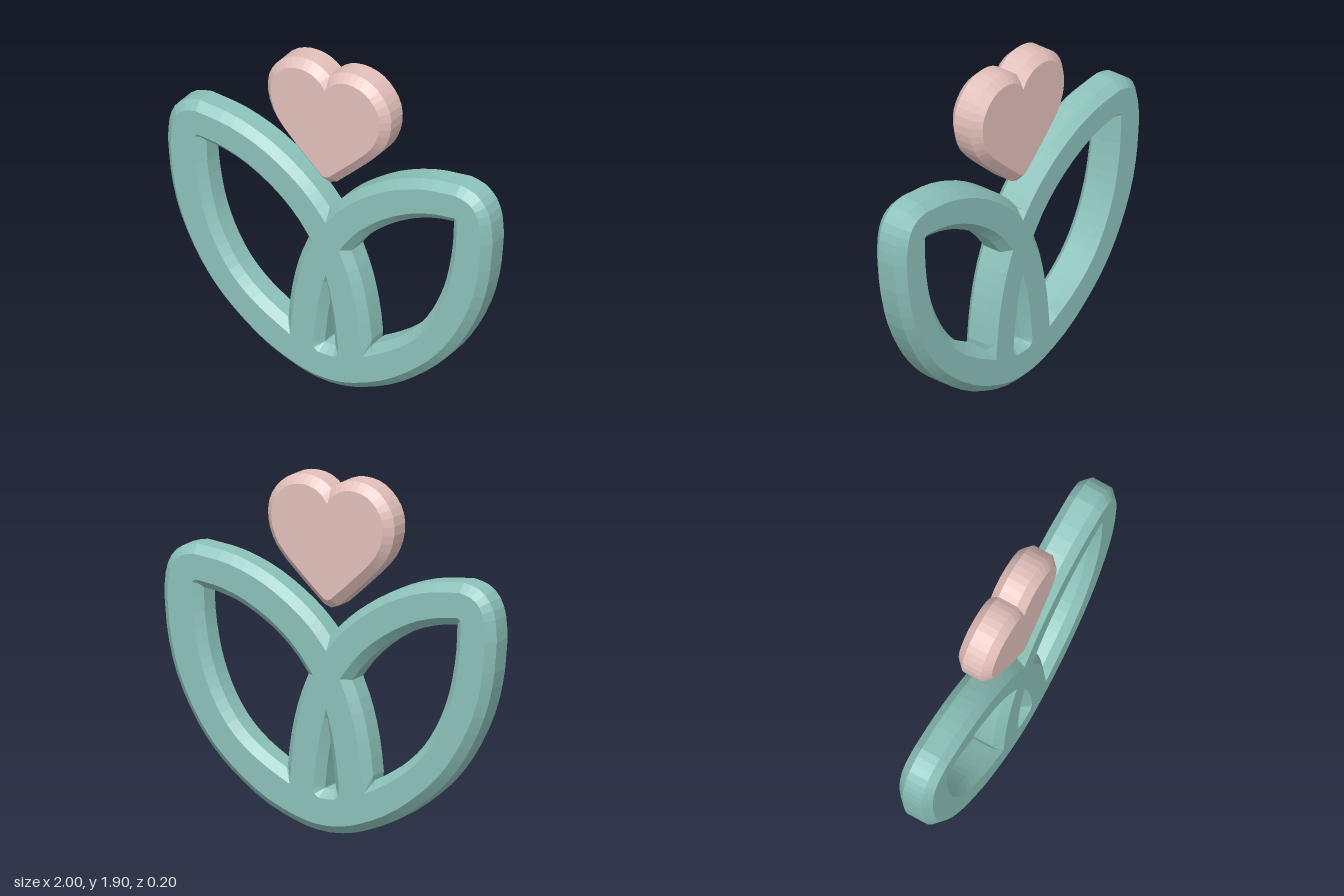
import * as THREE from 'three';

const BEVEL = 0.045, HALF = 0.1;

// Smooth run through [x, y] points, sampled into n steps (end point left out)
function run(points, n) {
  const curve = new THREE.CatmullRomCurve3(points.map(([x, y]) => new THREE.Vector3(x, y, 0)));
  return curve.getPoints(n).slice(0, -1).map((p) => new THREE.Vector2(p.x, p.y));
}

const mirror = (points) => points.map((p) => new THREE.Vector2(-p.x, p.y));

// Closes a right-hand half outline, running from the top centre to the bottom centre,
// into a full anticlockwise one
function symmetric(half, end) {
  const last = new THREE.Vector2(...end);
  return [...half, last, ...mirror(half.slice(1)).reverse()].reverse();
}

// Chamfered plate centred on z = 0
function plate(name, outline, holes, color) {
  const shape = new THREE.Shape(outline);
  shape.holes = holes.map((h) => new THREE.Path(h));
  const geometry = new THREE.ExtrudeGeometry(shape, {
    depth: 2 * (HALF - BEVEL), bevelSize: BEVEL, bevelThickness: BEVEL, bevelSegments: 1, steps: 1,
  });
  geometry.translate(0, 0, BEVEL - HALF);
  const mesh = new THREE.Mesh(geometry, new THREE.MeshStandardMaterial({ color }));
  mesh.name = name;
  return mesh;
}

export function createModel() {
  const group = new THREE.Group();
  group.name = 'heartAndLeaves';

  // Outer edge of the leaves: top arch, rounded tip, long side down to the base
  const leafOutline = symmetric([
    ...run([[0, 0.98], [0.1, 1.095], [0.22, 1.195], [0.4, 1.303], [0.6, 1.373], [0.8, 1.398]], 14),
    ...run([[0.8, 1.398], [0.87, 1.38], [0.92, 1.335], [0.947, 1.26], [0.955, 1.15]], 8),
    ...run([[0.955, 1.15], [0.935, 0.95], [0.885, 0.755], [0.785, 0.55], [0.68, 0.405], [0.555, 0.285],
      [0.37, 0.155], [0.18, 0.075], [0.08, 0.051], [0, 0.045]], 22),
  ], [0, 0.045]);

  // Opening inside each leaf
  const leafHole = [
    ...run([[0.79, 1.262], [0.65, 1.243], [0.5, 1.195], [0.32, 1.092], [0.18, 0.97], [0.08, 0.84]], 12),
    ...run([[0.08, 0.84], [0.145, 0.68], [0.193, 0.48], [0.22, 0.24]], 8),
    ...run([[0.22, 0.24], [0.36, 0.315], [0.48, 0.395], [0.585, 0.495], [0.67, 0.62], [0.73, 0.75],
      [0.767, 0.87], [0.8, 1.06], [0.808, 1.245]], 18),
    new THREE.Vector2(0.808, 1.245),
  ];

  // Narrow slit between the leaf bases
  const slit = symmetric([
    ...run([[0, 0.67], [0.035, 0.54], [0.06, 0.4], [0.078, 0.24]], 8),
    ...run([[0.078, 0.24], [0.072, 0.208], [0.045, 0.19]], 4),
    new THREE.Vector2(0.045, 0.19),
  ], [0, 0.187]);

  group.add(plate('leaves', leafOutline, [leafHole, mirror(leafHole), slit], 0x8cc2b9));

  // Heart above the leaves
  const heartOutline = symmetric([
    ...run([[0, 1.77], [0.035, 1.815], [0.09, 1.848], [0.16, 1.857], [0.235, 1.838], [0.295, 1.787],
      [0.33, 1.72], [0.332, 1.63], [0.3, 1.54], [0.25, 1.475], [0.2, 1.425], [0.025, 1.262]], 24),
    new THREE.Vector2(0.02, 1.26),
  ], [0, 1.253]);
  const heart = plate('heart', heartOutline, [], 0xe3c0bb);
  heart.position.x = -0.004;
  group.add(heart);

  return group;
}
